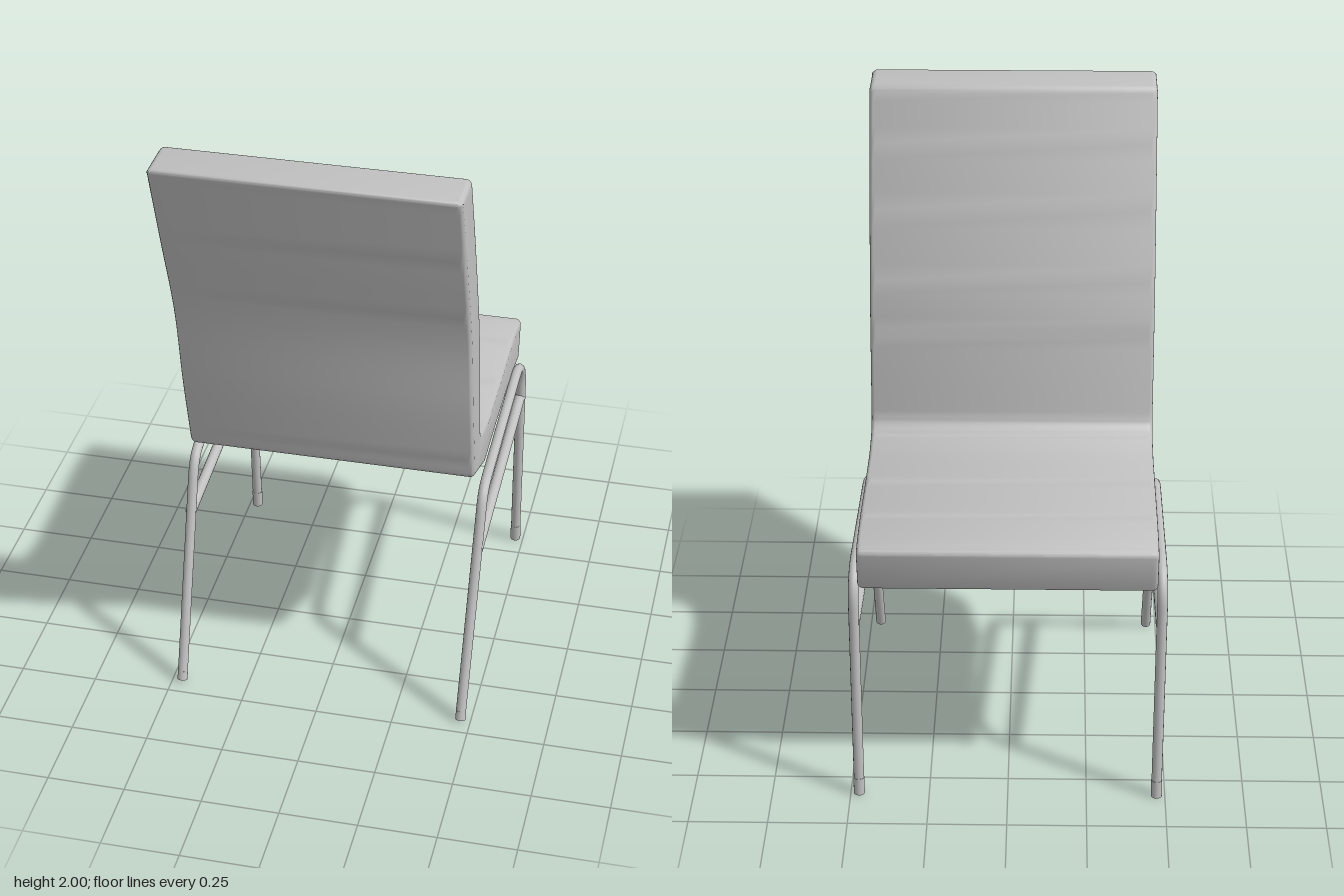
import * as THREE from 'three';
import { toCreasedNormals } from 'three/addons/utils/BufferGeometryUtils.js';

const V = (x, y, z) => new THREE.Vector3(x, y, z);

// Straight capped rod between two points
function rod(name, a, b, r, material) {
  const dir = b.clone().sub(a);
  const mesh = new THREE.Mesh(new THREE.CylinderGeometry(r, r, dir.length(), 16), material);
  mesh.position.copy(a).add(b).multiplyScalar(0.5);
  mesh.quaternion.setFromUnitVectors(V(0, 1, 0), dir.normalize());
  mesh.name = name;
  return mesh;
}

// One-piece seat and backrest: side profile (z, y) extruded across the width
function seatShell(material) {
  const pts = (list) => list.map(([z, y]) => new THREE.Vector2(z, y));
  const s = new THREE.Shape();
  s.moveTo(0.6, 2);
  s.lineTo(0.47, 2);
  s.quadraticCurveTo(0.455, 2, 0.447, 1.98);
  s.splineThru(pts([[0.35, 1.72], [0.243, 1.39], [0.2, 1.17], [0.168, 0.96]]));
  s.quadraticCurveTo(0.163, 0.938, 0.14, 0.928);
  s.splineThru(pts([[0.08, 0.912], [0, 0.905], [-0.2, 0.912], [-0.4, 0.92], [-0.53, 0.916], [-0.595, 0.903]]));
  s.quadraticCurveTo(-0.61, 0.9, -0.608, 0.885);
  s.lineTo(-0.588, 0.768);
  s.quadraticCurveTo(-0.585, 0.755, -0.57, 0.756);
  s.splineThru(pts([[-0.4, 0.77], [-0.15, 0.77], [0.07, 0.76]]));
  s.lineTo(0.255, 0.832);
  s.quadraticCurveTo(0.27, 0.838, 0.275, 0.855);
  s.splineThru(pts([[0.34, 1.11], [0.4, 1.4], [0.508, 1.7], [0.61, 1.985]]));
  s.quadraticCurveTo(0.615, 2, 0.6, 2);
  const bevel = 0.018, width = 0.92;
  const geo = new THREE.ExtrudeGeometry(s, {
    depth: width - 2 * bevel, curveSegments: 5,
    bevelSize: bevel, bevelThickness: bevel, bevelOffset: -bevel, bevelSegments: 4,
  });
  geo.translate(0, 0, bevel - width / 2).rotateY(-Math.PI / 2);
  const mesh = new THREE.Mesh(toCreasedNormals(geo, 0.6), material);
  mesh.name = 'seatAndBackrest';
  return mesh;
}

// Bent tube leg frame with a stretcher and foot glides
function legFrame(side, material) {
  const g = new THREE.Group();
  g.name = side > 0 ? 'leftLegFrame' : 'rightLegFrame';
  const P = (x, y, z) => V(side * x, y, z);
  const r = 0.0165;
  const frontFoot = P(0.473, 0.05, -0.583), rearFoot = P(0.467, 0.035, 0.432);
  const frontBend = P(0.476, 0.68, -0.548), frontTop = P(0.474, 0.782, -0.42);
  const rearTop = P(0.474, 0.742, 0.08), rearBend = P(0.474, 0.65, 0.21);

  const path = new THREE.CurvePath();
  path.add(new THREE.LineCurve3(frontFoot, frontBend));
  path.add(new THREE.CubicBezierCurve3(frontBend, P(0.476, 0.75, -0.543), P(0.474, 0.79, -0.5), frontTop));
  path.add(new THREE.LineCurve3(frontTop, rearTop));
  path.add(new THREE.CubicBezierCurve3(rearTop, P(0.474, 0.736, 0.155), P(0.474, 0.73, 0.182), rearBend));
  path.add(new THREE.LineCurve3(rearBend, rearFoot));
  const tube = new THREE.Mesh(new THREE.TubeGeometry(path, 120, r, 14), material);
  tube.name = 'legTube';
  g.add(tube);

  g.add(rod('stretcher', P(0.474, 0.55, 0.25), P(0.474, 0.622, -0.558), 0.0175, material));
  g.add(rod('frontGlide', P(0.473, 0.06, -0.583), P(0.473, 0.001, -0.586), 0.0175, material));
  g.add(rod('rearGlide', rearFoot, P(0.467, 0.006, 0.442), r, material));
  return g;
}

export function createModel() {
  const grey = new THREE.MeshStandardMaterial({ color: 0xc0c0c0 });
  grey.name = 'light grey';
  const chair = new THREE.Group();
  chair.name = 'chair';
  chair.add(seatShell(grey));
  for (const side of [1, -1]) chair.add(legFrame(side, grey));
  return chair;
}
